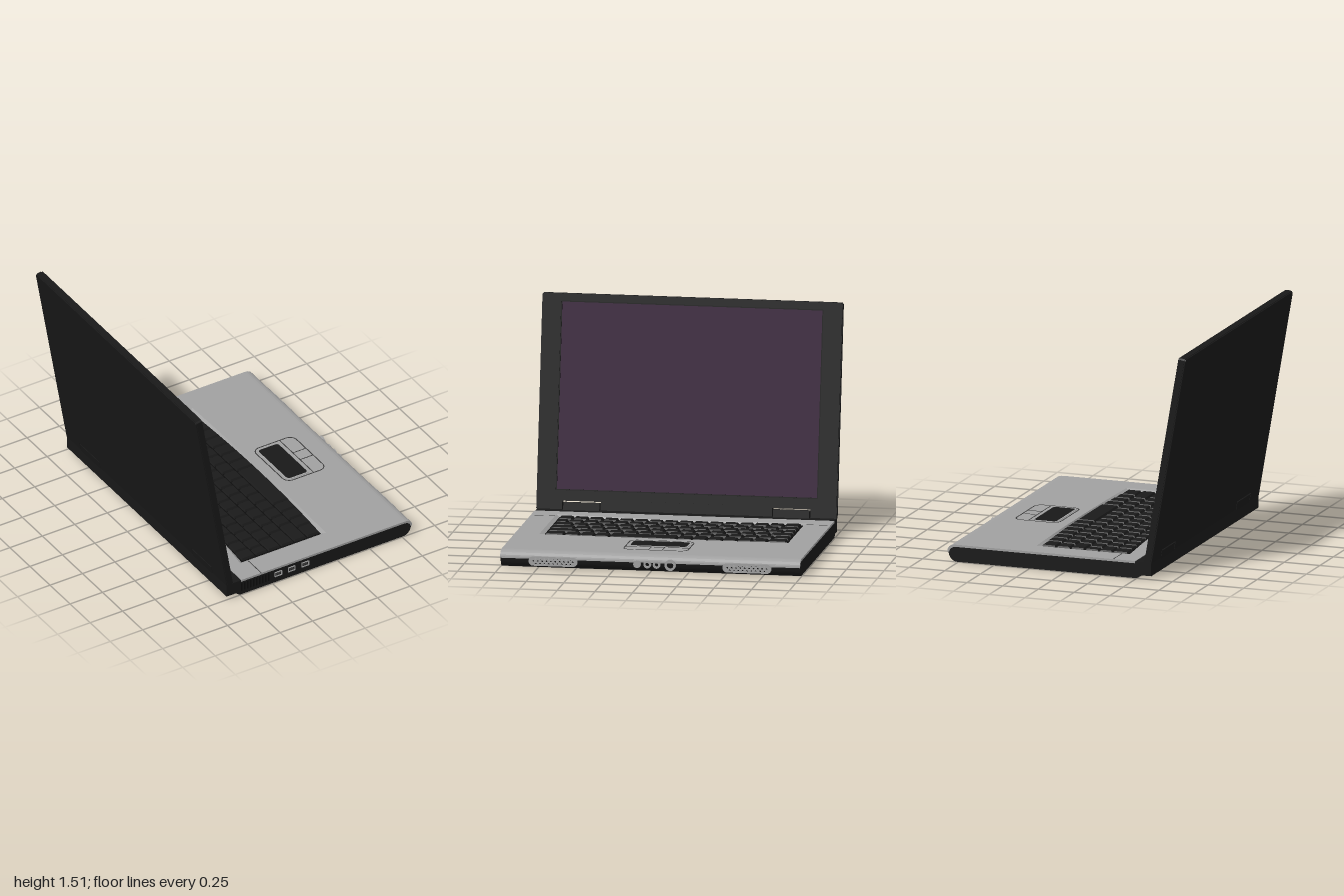
import * as THREE from 'three';
import { mergeGeometries } from 'three/addons/utils/BufferGeometryUtils.js';

const mat = (color, side = THREE.FrontSide) => new THREE.MeshStandardMaterial({ color, side });
const silver = mat(0xa0a0a0), black = mat(0x181818), dark = mat(0x0c0c0c);
const keyMat = mat(0x1a1a1a), purple = mat(0x341a37), seam = mat(0x3c3c3c);

function add(parent, name, geometry, material) {
  const mesh = new THREE.Mesh(geometry, material);
  mesh.name = name;
  parent.add(mesh);
  return mesh;
}

const box = (x0, x1, y0, y1, z0, z1) =>
  new THREE.BoxGeometry(x1 - x0, y1 - y0, z1 - z0)
    .translate((x0 + x1) / 2, (y0 + y1) / 2, (z0 + z1) / 2);

const extrude = (shape, depth, opts = {}) =>
  new THREE.ExtrudeGeometry(shape, { depth, bevelEnabled: false, curveSegments: 8, ...opts });

// Plate lying flat: shape is (x, z), upper face at y = top
const flat = (shape, top, h) => extrude(shape, h).rotateX(Math.PI / 2).translate(0, top, 0);
// Plate facing +x: shape is (-z, y), from x0 to x1
const facing = (shape, x0, x1, opts) => extrude(shape, x1 - x0, opts).rotateY(Math.PI / 2).translate(x0, 0, 0);
// Side profile (x, y) swept across the full width
const across = (shape, w) => extrude(shape, 2 * w).translate(0, 0, -w);

function roundRect(x0, x1, y0, y1, r, Type = THREE.Shape) {
  const s = new Type();
  s.absarc(x1 - r, y0 + r, r, -Math.PI / 2, 0);
  s.absarc(x1 - r, y1 - r, r, 0, Math.PI / 2);
  s.absarc(x0 + r, y1 - r, r, Math.PI / 2, Math.PI);
  s.absarc(x0 + r, y0 + r, r, Math.PI, Math.PI * 1.5);
  s.closePath();
  return s;
}

function frame(x0, x1, y0, y1, r, t) {
  const s = roundRect(x0, x1, y0, y1, r);
  s.holes.push(roundRect(x0 + t, x1 - t, y0 + t, y1 - t, Math.max(r - t, 0.002), THREE.Path));
  return s;
}

// Curved long edges of the keyboard
const backEdge = z => -0.335 - 0.035 * (z / 0.81) ** 2;
const frontEdge = z => 0.27 - 0.03 * (z / 0.81) ** 2;

// Closed outline of the keyboard well, as [x, z] points
function wellLoop(zEnd, grow) {
  const pts = [], n = 16;
  for (let i = 0; i <= n; i++) {
    const t = -1 + 2 * i / n;
    pts.push([backEdge(t * 0.81) - grow * (0.3 + 0.7 * t * t), t * zEnd]);
  }
  for (let i = n; i >= 0; i--) {
    const t = -1 + 2 * i / n;
    pts.push([frontEdge(t * 0.81) + grow * (0.3 + 0.7 * t * t), t * zEnd]);
  }
  return pts;
}

function buildBase(root) {
  const base = new THREE.Group();
  base.name = 'base';
  root.add(base);

  // Lower case with raised hinge strip at the back
  const body = new THREE.Shape();
  body.moveTo(-0.6, 0.022);
  body.lineTo(-0.53, 0.022);
  body.lineTo(-0.5, 0);
  body.lineTo(0.765, 0);
  body.quadraticCurveTo(0.815, 0.01, 0.82, 0.065);
  body.quadraticCurveTo(0.81, 0.095, 0.77, 0.1);
  body.lineTo(-0.488, 0.1);
  body.lineTo(-0.488, 0.112);
  body.lineTo(-0.6, 0.112);
  body.closePath();
  add(base, 'lowerCase', across(body, 0.995), black);

  // Silver deck with keyboard well, and the lip rolling over the front edge
  const outer = wellLoop(0.835, 0.024), inner = wellLoop(0.81, 0);
  const deck = new THREE.Shape([[-0.488, -0.997], [0.72, -0.997], [0.72, 0.997], [-0.488, 0.997]]
    .map(p => new THREE.Vector2(...p)));
  deck.holes.push(new THREE.Path(outer.map(p => new THREE.Vector2(...p))));
  add(base, 'deck', flat(deck, 0.115, 0.015), silver);

  const lip = new THREE.Shape();
  lip.moveTo(0.72, 0.1);
  lip.lineTo(0.77, 0.1);
  lip.quadraticCurveTo(0.81, 0.095, 0.815, 0.065);
  lip.lineTo(0.828, 0.065);
  lip.bezierCurveTo(0.828, 0.095, 0.81, 0.115, 0.765, 0.115);
  lip.lineTo(0.72, 0.115);
  lip.closePath();
  add(base, 'frontLip', across(lip, 0.997), silver);

  // Sloping rim of the well
  const pos = [], idx = [], n = outer.length;
  outer.forEach(([x, z], i) => {
    pos.push(x, 0.115, z, inner[i][0], 0.1, inner[i][1]);
    const a = 2 * i, b = 2 * ((i + 1) % n);
    idx.push(a, b, a + 1, b, b + 1, a + 1);
  });
  const rim = new THREE.BufferGeometry();
  rim.setAttribute('position', new THREE.Float32BufferAttribute(pos, 3));
  rim.setIndex(idx);
  const rimFlat = rim.toNonIndexed();
  rimFlat.computeVertexNormals();
  add(base, 'keyboardRim', rimFlat, mat(0xa0a0a0, THREE.DoubleSide));
  add(base, 'keyboardTray', flat(new THREE.Shape(inner.map(p => new THREE.Vector2(...p))), 0.102, 0.003), dark);

  for (const s of [-1, 1]) add(base, 'deckSeam', box(-0.338, -0.332, 0.112, 0.1158, s * 0.917 - 0.08, s * 0.917 + 0.08), seam);
  return base;
}

// Key with a narrower top
function key(x0, x1, z0, z1) {
  const g = box(x0, x1, 0.1, 0.116, z0, z1), p = g.attributes.position;
  const cx = (x0 + x1) / 2, cz = (z0 + z1) / 2;
  for (let i = 0; i < p.count; i++) if (p.getY(i) > 0.11) {
    p.setX(i, p.getX(i) - Math.sign(p.getX(i) - cx) * 0.008);
    p.setZ(i, p.getZ(i) - Math.sign(p.getZ(i) - cz) * 0.008);
  }
  const flatKey = g.toNonIndexed();
  flatKey.computeVertexNormals();
  return flatKey;
}

function buildKeyboard(base) {
  const lines = [null, -0.255, -0.16, -0.06, 0.04, 0.14, null];
  const firstKeys = [[0.1], [0.08], [0.13], [0.16], [0.2], [0.13, 0.1, 0.1, 0.1, 0.45]];
  const keys = [], gap = 0.004;
  firstKeys.forEach((widths, row) => {
    let z = 0.805;
    for (let i = 0; z > -0.8; i++) {
      let z1 = z - (widths[i] ?? 0.1);
      if (z1 < -0.74) z1 = -0.805;
      const mid = (z + z1) / 2;
      keys.push(key((lines[row] ?? backEdge(mid)) + gap, (lines[row + 1] ?? frontEdge(mid)) - gap, z1 + gap, z - gap));
      z = z1;
    }
  });
  add(base, 'keys', mergeGeometries(keys), keyMat);
}

function buildTouchpad(base) {
  const pad = new THREE.Group();
  pad.name = 'touchpad';
  base.add(pad);
  add(pad, 'touchpadOutline', flat(frame(0.343, 0.66, -0.22, 0.214, 0.055, 0.007), 0.1165, 0.004), seam);
  add(pad, 'touchpadBezel', flat(frame(0.36, 0.54, -0.203, 0.197, 0.035, 0.012), 0.118, 0.005), silver);
  add(pad, 'touchSurface', flat(roundRect(0.371, 0.527, -0.192, 0.186, 0.02), 0.1165, 0.004), black);
  add(pad, 'buttonSeam', box(0.553, 0.559, 0.112, 0.1165, -0.216, 0.21), seam);
  for (const z of [-0.05, 0.04]) add(pad, 'buttonDivider', box(0.556, 0.656, 0.112, 0.1165, z - 0.003, z + 0.003), seam);
}

function buildEdges(base) {
  // Perforated speaker grilles on the front edge
  for (const s of [-1, 1]) {
    const c = s * 0.645;
    const grille = roundRect(c - 0.162, c + 0.162, 0.02, 0.082, 0.03);
    for (let r = 0; r < 3; r++) for (let i = 0; i < 10 - (r !== 1); i++) {
      const u = c + (i - (r === 1 ? 4.5 : 4)) * 0.029;
      grille.holes.push(new THREE.Path().absarc(u, 0.034 + r * 0.017, 0.0065, 0, Math.PI * 2, true));
    }
    add(base, 'speakerGrille', facing(grille, 0.79, 0.832, { curveSegments: 5 }), silver);
  }
  // Jacks and button in the middle of the front edge
  for (const [z, r, hole] of [[0.085, 0.025, 0], [0.017, 0.025, 0.012], [-0.045, 0.025, 0.012], [-0.135, 0.037, 0.022]]) {
    const ring = new THREE.Shape().absarc(-z, 0.055, r, 0, Math.PI * 2);
    if (hole) ring.holes.push(new THREE.Path().absarc(-z, 0.055, hole, 0, Math.PI * 2, true));
    add(base, hole ? 'audioJack' : 'frontButton', facing(ring, 0.79, 0.839, { curveSegments: 20 }), silver);
    if (hole) add(base, 'jackCore', new THREE.CylinderGeometry(hole, hole, 0.03, 20).rotateZ(Math.PI / 2).translate(0.812, 0.055, z), dark);
  }
  // Ports and vent ribs on one side
  for (const x of [-0.203, -0.1, 0.005]) {
    add(base, 'portFrame', extrude(frame(x - 0.029, x + 0.029, 0.042, 0.079, 0.004, 0.006), 0.01).translate(0, 0, 0.99), silver);
    add(base, 'portTongue', box(x - 0.016, x + 0.016, 0.055, 0.066, 0.99, 0.998), seam);
  }
  for (let i = 0; i < 10; i++) {
    const x = -0.49 + i * 0.023;
    add(base, 'ventSlot', box(x, x + 0.009, 0.03, 0.09, 0.99, 0.999), dark);
  }
}

function buildLid(root) {
  const lid = new THREE.Group();
  lid.name = 'lid';
  lid.position.set(-0.575, 0.1, 0);
  lid.rotation.z = 0.17;
  root.add(lid);

  // Outline with two hinge notches along the bottom
  const outline = e => new THREE.Shape([
    [-1 + e, 0.012], [-0.826, 0.012], [-0.826, 0.068], [-0.57, 0.068], [-0.57, 0.012],
    [0.57, 0.012], [0.57, 0.068], [0.826, 0.068], [0.826, 0.012], [1 - e, 0.012],
    [1 - e, 1.42 - e], [0.99 - e, 1.43 - e], [-0.99 + e, 1.43 - e], [-1 + e, 1.42 - e],
  ].map(p => new THREE.Vector2(...p)));
  add(lid, 'lidBack', facing(outline(0.004), -0.025, -0.018), black);
  add(lid, 'lidShell', facing(outline(0), -0.018, 0.012), black);
  const bezel = outline(0.003);
  bezel.holes.push(roundRect(-0.872, 0.872, 0.137, 1.38, 0.006, THREE.Path));
  add(lid, 'screenBezel', facing(bezel, 0.012, 0.025), black);
  add(lid, 'screenGasket', facing(frame(-0.875, 0.875, 0.134, 1.383, 0.006, 0.01), 0.01, 0.021), dark);
  add(lid, 'screen', box(0.008, 0.015, 0.136, 1.381, -0.872, 0.872), purple);
  add(lid, 'bezelRidge', box(0.02, 0.028, 0.07, 0.078, -0.25, 0.25), black);

  // Hinge blocks sitting in the notches
  for (const s of [-1, 1]) {
    const c = s * 0.698;
    add(lid, 'hingeBlock', box(-0.025, 0.029, -0.01, 0.06, c - 0.12, c + 0.12), black);
  }
}

export function createModel() {
  const root = new THREE.Group();
  root.name = 'laptop';
  const base = buildBase(root);
  buildKeyboard(base);
  buildTouchpad(base);
  buildEdges(base);
  buildLid(root);
  return root;
}
